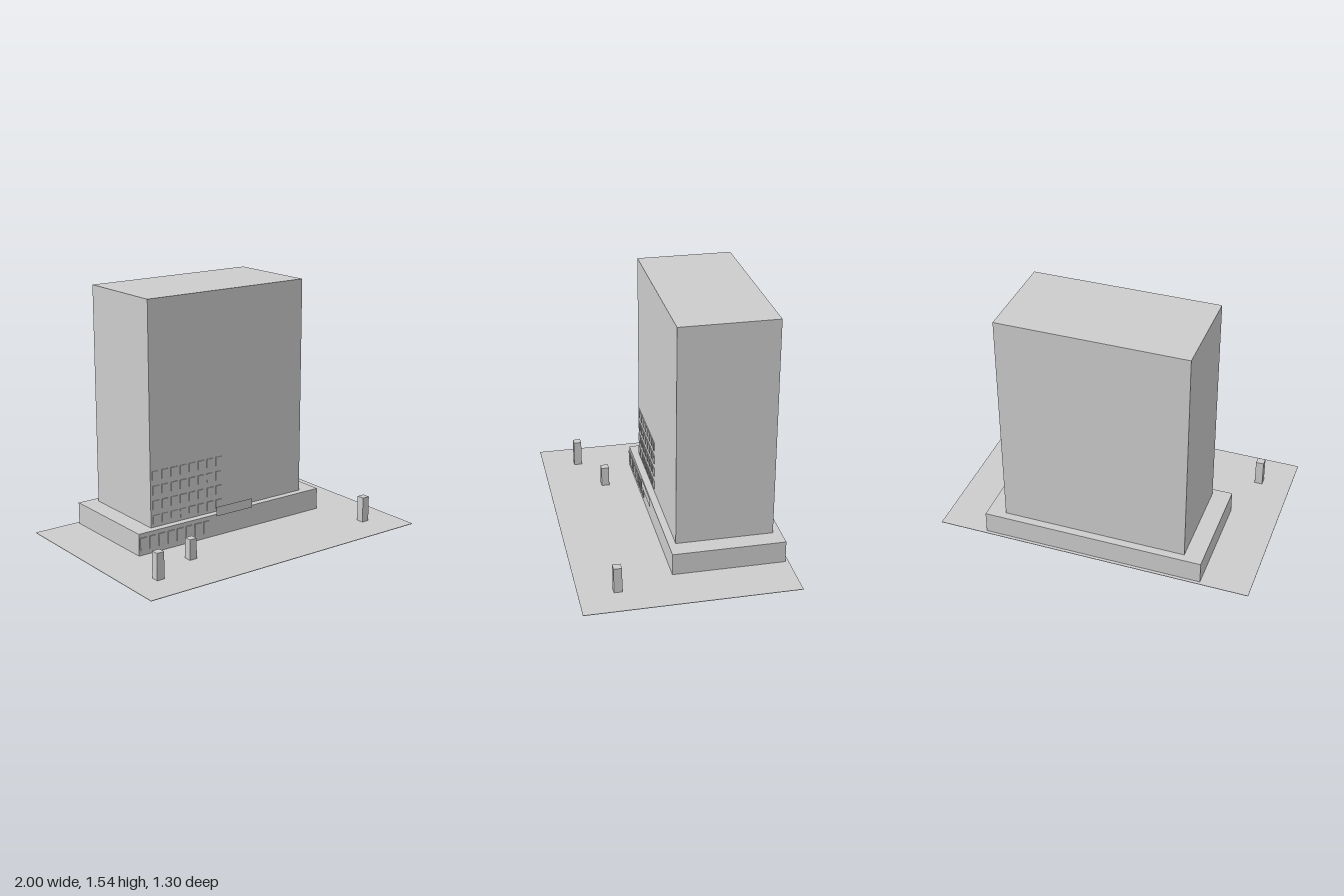
import * as THREE from 'three';

export function createModel() {
  const model = new THREE.Group();
  const concrete = new THREE.MeshStandardMaterial({ color: 0xcccccc });
  concrete.name = 'light grey';
  const sheet = concrete.clone();
  sheet.side = THREE.DoubleSide;

  // Box given by its extents on each axis
  function block(name, [x0, x1], [y0, y1], [z0, z1], parent = model) {
    const mesh = new THREE.Mesh(new THREE.BoxGeometry(x1 - x0, y1 - y0, z1 - z0), concrete);
    mesh.position.set((x0 + x1) / 2, (y0 + y1) / 2, (z0 + z1) / 2);
    mesh.name = name;
    parent.add(mesh);
    return mesh;
  }

  // Site and main volumes
  block('ground', [-1, 1], [0, 0.003], [-0.65, 0.65]);
  block('podium', [-0.697, 0.697], [0.003, 0.142], [-0.63, 0.068]);
  block('tower', [-0.58, 0.58], [0.142, 1.537], [-0.58, 0.023]);

  // Grids of thin window plates on the left part of the front
  function windows(name, startX, stepX, rows, height, z) {
    const group = new THREE.Group();
    group.name = name;
    for (const y of rows) {
      for (let i = 0; i < 8; i++) {
        const x = startX + i * stepX;
        block('window', [x - 0.023, x + 0.023], [y - height / 2, y + height / 2], [z, z + 0.006], group);
      }
    }
    model.add(group);
  }
  windows('towerWindows', -0.543, 0.067, [0.19, 0.282, 0.375, 0.468], 0.056, 0.022);
  windows('podiumWindows', -0.666, 0.0666, [0.075], 0.08, 0.068);

  // Flat panel standing in front of the entrance
  const panel = new THREE.Mesh(new THREE.PlaneGeometry(0.276, 0.06), sheet);
  panel.name = 'entrancePanel';
  panel.position.set(0, 0.168, 0.09);
  model.add(panel);

  // Free-standing posts on the forecourt
  for (const [x, z, h] of [[-0.793, 0.415, 0.17], [0.788, 0.415, 0.165], [-0.468, 0.278, 0.132]]) {
    block('post', [x - 0.025, x + 0.025], [0.003, h], [z - 0.025, z + 0.025]);
  }
  return model;
}
